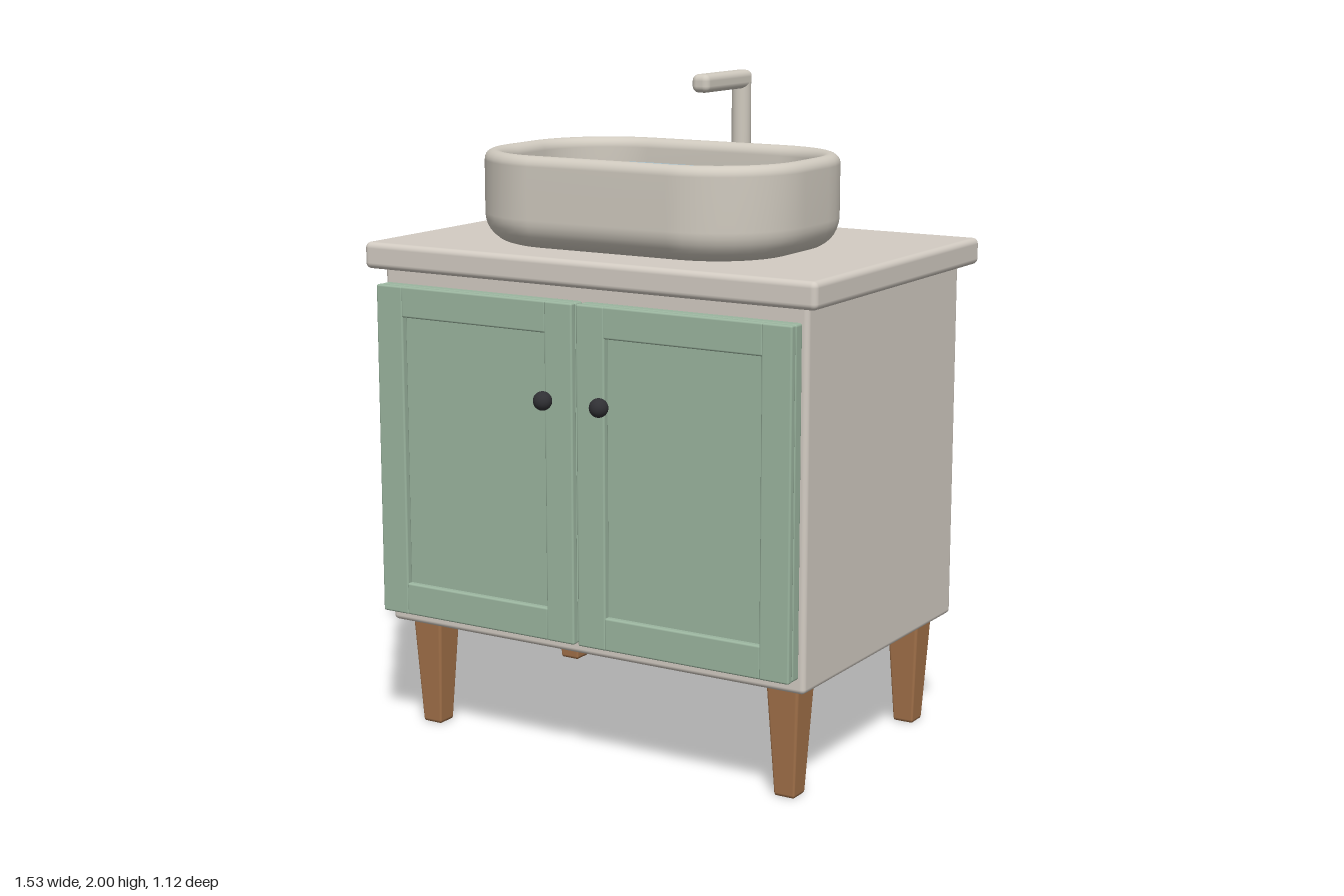
import * as THREE from 'three';
import { RoundedBoxGeometry } from 'three/addons/geometries/RoundedBoxGeometry.js';

const material = (name, color) => {
  const m = new THREE.MeshStandardMaterial({ color });
  m.name = name;
  return m;
};

// Bowl wall: rounded-rectangle loops that follow a profile of [inset, height]
function loftBowl(halfX, halfZ, radius, profile) {
  const perCorner = 10, count = perCorner * 4, pos = [], index = [];
  for (const [inset, y] of profile) {
    const r = radius - inset;
    for (let c = 0; c < 4; c++) {
      const sx = c === 0 || c === 3 ? 1 : -1, sz = c < 2 ? 1 : -1;
      for (let k = 0; k < perCorner; k++) {
        const a = (c + k / (perCorner - 1)) * Math.PI / 2;
        pos.push(sx * (halfX - radius) + r * Math.cos(a), y, sz * (halfZ - radius) + r * Math.sin(a));
      }
    }
  }
  for (let j = 0; j < profile.length - 1; j++) {
    for (let i = 0; i < count; i++) {
      const n = (i + 1) % count;
      const a = j * count + i, b = j * count + n, c = a + count, d = b + count;
      index.push(a, c, b, b, c, d);
    }
  }
  const g = new THREE.BufferGeometry();
  g.setAttribute('position', new THREE.Float32BufferAttribute(pos, 3));
  g.setIndex(index);
  g.computeVertexNormals();
  return g;
}

// Flat horizontal rounded rectangle
function roundedPlate(halfX, halfZ, r) {
  const s = new THREE.Shape(), x = halfX - r, z = halfZ - r;
  s.absarc(x, z, r, 0, Math.PI / 2);
  s.absarc(-x, z, r, Math.PI / 2, Math.PI);
  s.absarc(-x, -z, r, Math.PI, Math.PI * 1.5);
  s.absarc(x, -z, r, Math.PI * 1.5, Math.PI * 2);
  return new THREE.ShapeGeometry(s, 9).rotateX(-Math.PI / 2);
}

export function createModel() {
  const model = new THREE.Group();
  model.name = 'washstand';
  const stone = material('warm stone', 0xd3ccc3);
  const ceramic = material('ceramic', 0xd0cabf);
  const green = material('sage green', 0x9bb59f);
  const wood = material('wood', 0x9f6f48);
  const black = material('black metal', 0x303034);
  const blue = material('water blue', 0xa3c0ce);

  const add = (parent, name, geometry, mat, x, y, z) => {
    const mesh = new THREE.Mesh(geometry, mat);
    mesh.name = name;
    mesh.position.set(x, y, z);
    parent.add(mesh);
    return mesh;
  };
  // Rounded box given by its minimum and maximum corners
  const box = (parent, name, mat, x0, x1, y0, y1, z0, z1, r) => add(parent, name,
    new RoundedBoxGeometry(x1 - x0, y1 - y0, z1 - z0, 3, r), mat,
    (x0 + x1) / 2, (y0 + y1) / 2, (z0 + z1) / 2);

  // Cabinet and counter
  box(model, 'cabinet', stone, -0.72, 0.72, 0.34, 1.45, -0.51, 0.45, 0.015);
  box(model, 'counter', stone, -0.765, 0.765, 1.435, 1.515, -0.56, 0.493, 0.018);

  // Shaker doors: slab, raised frame and knob
  for (const s of [1, -1]) {
    const door = new THREE.Group();
    door.name = s > 0 ? 'leftDoor' : 'rightDoor';
    model.add(door);
    const part = (name, a, b, y0, y1, z0, z1, r) =>
      box(door, name, green, Math.min(s * a, s * b), Math.max(s * a, s * b), y0, y1, z0, z1, r);
    part('doorPanel', 0.007, 0.705, 0.387, 1.395, 0.452, 0.492, 0.008);
    part('outerStile', 0.61, 0.705, 0.387, 1.395, 0.49, 0.514, 0.006);
    part('innerStile', 0.007, 0.102, 0.387, 1.395, 0.49, 0.514, 0.006);
    part('topRail', 0.098, 0.614, 1.302, 1.395, 0.49, 0.513, 0.006);
    part('bottomRail', 0.098, 0.614, 0.387, 0.485, 0.49, 0.513, 0.006);
    add(door, 'knob', new THREE.SphereGeometry(0.028, 24, 16), black, s * 0.096, 1.108, 0.532);
  }

  // Tapered legs
  const legHeight = 0.35;
  const legGeometry = new RoundedBoxGeometry(0.106, legHeight, 0.106, 2, 0.01);
  const p = legGeometry.attributes.position;
  for (let i = 0; i < p.count; i++) {
    const k = THREE.MathUtils.lerp(0.62, 1, p.getY(i) / legHeight + 0.5);
    p.setX(i, p.getX(i) * k);
    p.setZ(i, p.getZ(i) * k);
  }
  for (const x of [-0.625, 0.625]) {
    for (const z of [0.354, -0.415]) {
      add(model, 'leg', legGeometry, wood, x, legHeight / 2 + 0.003, z);
    }
  }

  // Basin: rounded foot, straight wall, rolled rim and inner wall
  const profile = [];
  for (let i = 0; i <= 8; i++) {
    const a = i / 8 * Math.PI / 2;
    profile.push([0.09 * (1 - Math.sin(a)), 1.604 - 0.09 * Math.cos(a)]);
  }
  for (let i = 0; i <= 12; i++) {
    const a = i / 12 * Math.PI;
    profile.push([0.03 - 0.03 * Math.cos(a), 1.76 + 0.03 * Math.sin(a)]);
  }
  profile.push([0.06, 1.70]);
  add(model, 'basin', loftBowl(0.525, 0.36, 0.29, profile), ceramic, 0, 0, 0.04);
  add(model, 'water', roundedPlate(0.466, 0.301, 0.231), blue, 0, 1.715, 0.04);

  // Tap: round post and softened spout
  add(model, 'tapPost', new THREE.CylinderGeometry(0.03, 0.03, 0.465, 24), ceramic, 0, 1.7425, -0.438);
  box(model, 'tapSpout', ceramic, -0.03, 0.03, 1.944, 2, -0.464, -0.178, 0.02);

  return model;
}
